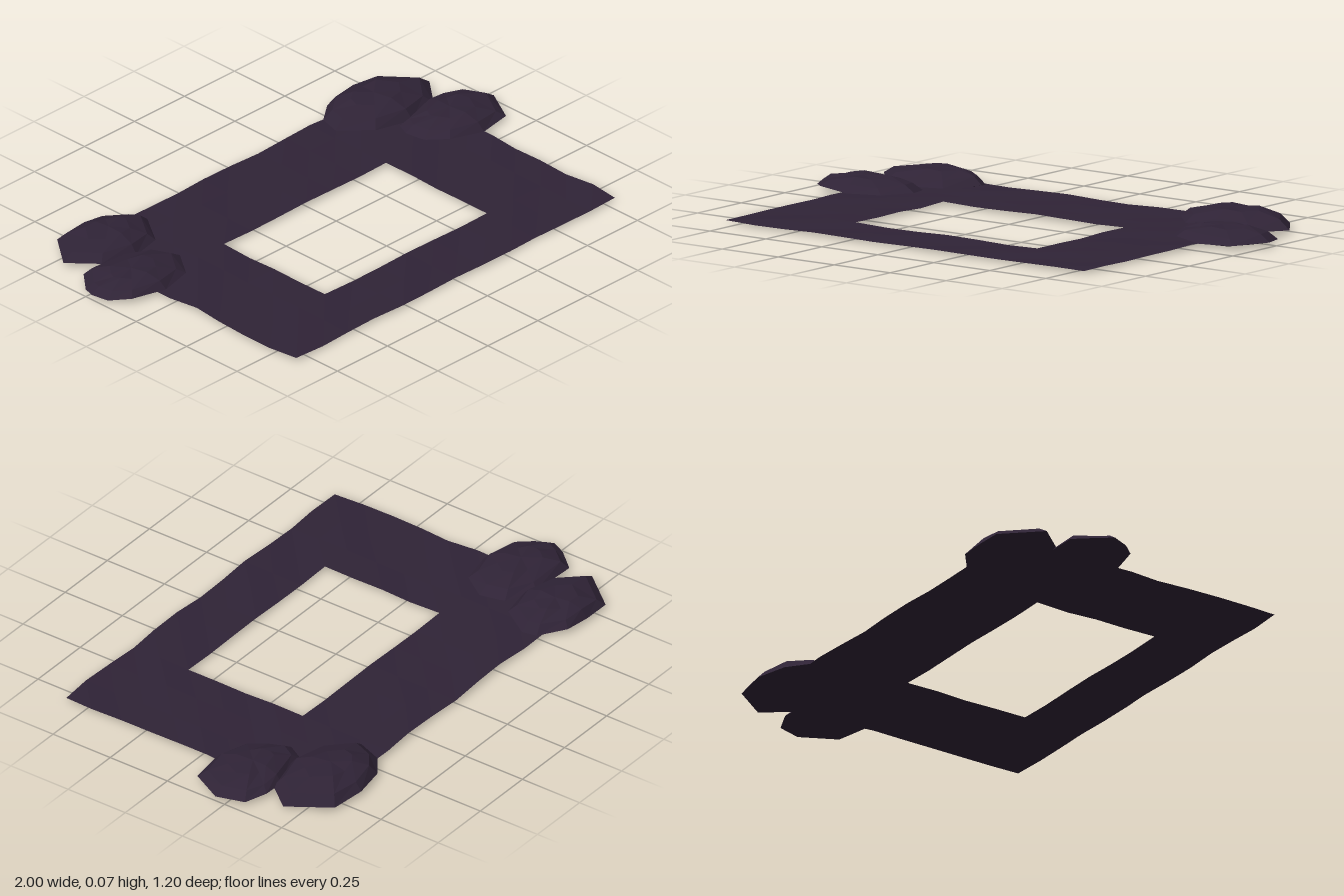
import * as THREE from 'three';

const darkPlum = new THREE.MeshStandardMaterial({ color: 0x2f2336, flatShading: true, side: THREE.DoubleSide });

function makeMesh(name, positions, indices) {
  const geometry = new THREE.BufferGeometry();
  geometry.setAttribute('position', new THREE.Float32BufferAttribute(positions, 3));
  geometry.setIndex(indices);
  geometry.computeVertexNormals();
  const mesh = new THREE.Mesh(geometry, darkPlum);
  mesh.name = name;
  return mesh;
}

// Thin rippled sheet with a rectangular opening
function makeSheet() {
  const xs = [-0.8, -0.67, -0.54, -0.41, -0.27, -0.14, 0, 0.13, 0.27, 0.4, 0.53, 0.67, 0.8];
  const zs = [-0.52, -0.4, -0.27, -0.15, -0.02, 0.1, 0.22, 0.35, 0.475, 0.595];
  const leftWobble = [0, 0, 0, -0.01, -0.013, 0.003, -0.008, -0.013, -0.012, 0];
  const rightWobble = [0, 0, 0, 0.005, 0, -0.005, -0.002, -0.005, 0.006, -0.003];
  const nx = xs.length, nz = zs.length;
  const positions = [], indices = [];
  zs.forEach((z, j) => xs.forEach((x, i) => {
    const edgeX = i === 0 ? leftWobble[j] : i === nx - 1 ? rightWobble[j] : 0;
    const edgeZ = j === 0 || j === nz - 1 ? 0.005 * Math.sin(i * 1.9) : 0;
    const y = 0.018 - 0.004 * (z - 0.1) + 0.0035 * Math.sin(i * 1.7 + j * 2.3) * Math.cos(j * 0.8);
    positions.push(x + edgeX, y, z + edgeZ);
  }));
  for (let j = 0; j < nz - 1; j++) {
    for (let i = 0; i < nx - 1; i++) {
      if (i >= 3 && i < 9 && j >= 3 && j < 7) continue; // opening
      const a = j * nx + i, b = a + 1, c = a + nx, d = c + 1;
      indices.push(a, c, b, b, c, d);
    }
  }
  return makeMesh('sheet', positions, indices);
}

// Low faceted stone: its outline scaled through stacked rings, closed at both ends
function makeStone(name, outline, base, top) {
  const n = outline.length;
  const cx = outline.reduce((s, p) => s + p[0], 0) / n;
  const cz = outline.reduce((s, p) => s + p[1], 0) / n;
  const rim = 0.022, rise = top - rim;
  const rings = [[0.6, base], [1, rim], [0.82, rim + rise * 0.55], [0.45, rim + rise * 0.94]];
  const positions = [], indices = [];
  rings.forEach(([scale, y], r) => outline.forEach(([x, z], i) => {
    const wobble = r === 0 ? 0 : 0.004 * Math.sin(i * 2.4 + r * 1.3);
    positions.push(cx + (x - cx) * scale, y + wobble, cz + (z - cz) * scale);
  }));
  positions.push(cx, base, cz, cx, top, cz);
  const bottomCentre = rings.length * n, topCentre = bottomCentre + 1;
  for (let i = 0; i < n; i++) {
    const k = (i + 1) % n;
    for (let r = 0; r < rings.length - 1; r++) {
      const lo = r * n, hi = lo + n;
      indices.push(lo + k, lo + i, hi + i, lo + k, hi + i, hi + k);
    }
    const last = (rings.length - 1) * n;
    indices.push(last + k, last + i, topCentre, i, k, bottomCentre);
  }
  return makeMesh(name, positions, indices);
}

export function createModel() {
  const group = new THREE.Group();
  group.name = 'stoneFrame';
  group.add(makeSheet());

  // Pairs of stones on the two back corners
  group.add(makeStone('rightBackStone', [
    [-0.91, -0.45], [-0.8, -0.59], [-0.69, -0.59], [-0.59, -0.58], [-0.5, -0.51],
    [-0.48, -0.46], [-0.56, -0.34], [-0.68, -0.315], [-0.82, -0.35]], 0.01, 0.072));
  group.add(makeStone('rightSideStone', [
    [-1, -0.22], [-0.98, -0.27], [-0.91, -0.35], [-0.72, -0.345], [-0.61, -0.29],
    [-0.58, -0.2], [-0.65, -0.1], [-0.78, -0.07], [-0.92, -0.1], [-0.98, -0.16]], 0.01, 0.064));
  group.add(makeStone('leftBackStone', [
    [0.43, -0.43], [0.46, -0.52], [0.54, -0.58], [0.67, -0.605], [0.8, -0.585],
    [0.91, -0.44], [0.82, -0.33], [0.68, -0.295], [0.53, -0.33]], 0.008, 0.081));
  group.add(makeStone('leftSideStone', [
    [0.59, -0.24], [0.62, -0.3], [0.79, -0.345], [0.88, -0.345], [0.96, -0.31],
    [1, -0.21], [0.93, -0.08], [0.8, -0.06], [0.67, -0.1], [0.61, -0.17]], 0.007, 0.066));
  return group;
}
